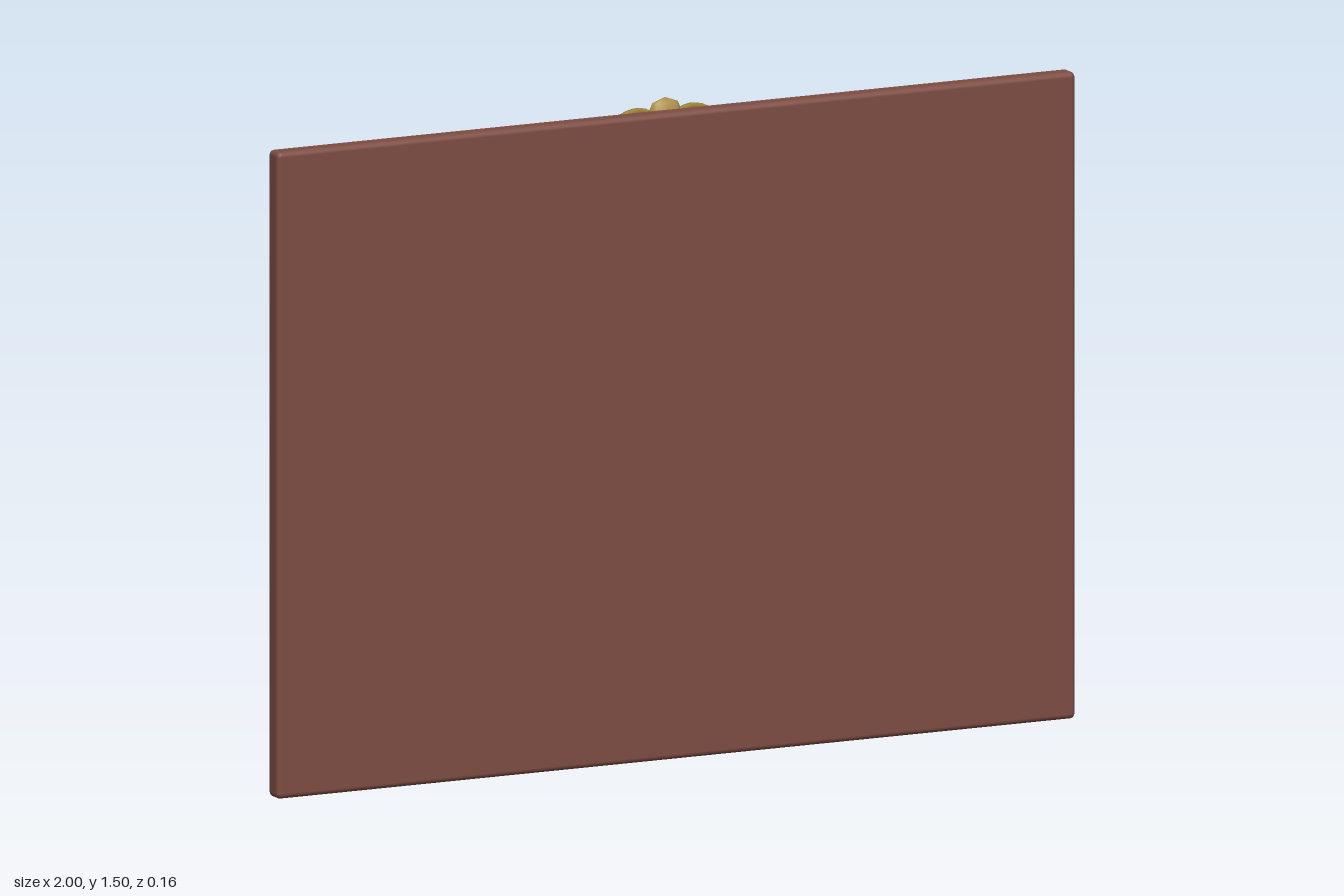
import * as THREE from 'three';
import { RoundedBoxGeometry } from 'three/addons/geometries/RoundedBoxGeometry.js';

const material = (name, color) => {
  const m = new THREE.MeshStandardMaterial({ color });
  m.name = name;
  return m;
};

export function createModel() {
  const wood = material('redBrownWood', 0x7e4d43);
  const gold = material('gold', 0xb3934c);
  const brass = material('brass', 0x9c8436);
  const pink = material('pinkCord', 0xb05a80);
  const tan = material('tanMetal', 0xa6957c);

  const model = new THREE.Group();
  model.name = 'jewelryBoard';

  const add = (name, geometry, mat, x, y, z, parent = model) => {
    const mesh = new THREE.Mesh(geometry, mat);
    mesh.name = name;
    mesh.position.set(x, y, z);
    parent.add(mesh);
    return mesh;
  };

  // Upright board with softened edges
  add('board', new RoundedBoxGeometry(2, 1.475, 0.05, 2, 0.012), wood, 0, 0.7375, 0.055);

  // Row of pegs on the back
  const pegGeo = new THREE.CylinderGeometry(0.014, 0.014, 0.105, 8).rotateX(Math.PI / 2);
  for (const x of [-0.8, -0.4, 0, 0.4, 0.8]) add('peg', pegGeo, brass, x, 1.23, -0.0225);

  // Necklaces: oval cord with a small ring pendant
  const cord = new THREE.CatmullRomCurve3(
    Array.from({ length: 11 }, (_, i) => {
      const a = (i / 11) * Math.PI * 2;
      return new THREE.Vector3(Math.cos(a) * 0.126, Math.sin(a) * 0.245, 0);
    }), true, 'catmullrom', 0.1);
  const cordGeo = new THREE.TubeGeometry(cord, 33, 0.0065, 6, true);
  const pendantGeo = new THREE.TorusGeometry(0.029, 0.0065, 6, 10);
  for (const x of [-0.8, 0, 0.8]) {
    const necklace = new THREE.Group();
    necklace.name = 'necklace';
    necklace.position.set(x, 0.98, -0.03);
    model.add(necklace);
    add('cord', cordGeo, pink, 0.003, 0, 0, necklace);
    add('pendantRing', pendantGeo, brass, 0, -0.21, 0, necklace);
  }

  // Bracelets: three stacked hoops, narrowing away from the board
  for (const x of [-0.4, 0.4]) {
    const bracelet = new THREE.Group();
    bracelet.name = 'bracelet';
    bracelet.position.set(x, 1.05, 0);
    model.add(bracelet);
    [[0.107, -0.01], [0.097, -0.022], [0.085, -0.034]].forEach(([r, z]) =>
      add('hoop', new THREE.TorusGeometry(r, 0.0095, 6, 13), tan, 0.002, 0, z, bracelet));
  }

  // Rounded knobs, tapering to a point at the board
  const knobProfile = [[0, -0.085], [0.045, -0.083], [0.095, -0.065], [0.076, -0.03], [0.045, -0.01], [0, 0.004]]
    .map(([r, z]) => new THREE.Vector2(r, z));
  const knobGeo = new THREE.LatheGeometry(knobProfile, 9).rotateX(Math.PI / 2);
  for (const x of [-0.585, 0, 0.585]) add('knob', knobGeo, gold, x, 0.33, 0);

  // Crest on the top edge: central stud with mirrored scrolls
  const crest = new THREE.Group();
  crest.name = 'crest';
  model.add(crest);
  const stud = add('stud', new THREE.SphereGeometry(1, 8, 4), gold, 0, 1.46, 0.02, crest);
  stud.scale.set(0.045, 0.04, 0.018);
  const scrolls = {
    outerScroll: [[0.02, 1.455], [0.06, 1.473], [0.11, 1.462], [0.14, 1.425], [0.13, 1.39], [0.095, 1.374]],
    innerScroll: [[0.015, 1.44], [0.03, 1.4], [0.055, 1.378], [0.085, 1.385], [0.09, 1.41]],
  };
  for (const side of [-1, 1]) {
    for (const [name, points] of Object.entries(scrolls)) {
      const path = new THREE.CatmullRomCurve3(points.map(([x, y]) => new THREE.Vector3(x * side, y, 0.02)));
      add(name, new THREE.TubeGeometry(path, 14, 0.008, 6), brass, 0, 0, 0, crest);
      const tip = points[points.length - 1];
      add(name + 'Tip', new THREE.SphereGeometry(0.009, 6, 4), brass, tip[0] * side, tip[1], 0.02, crest);
    }
  }

  return model;
}
